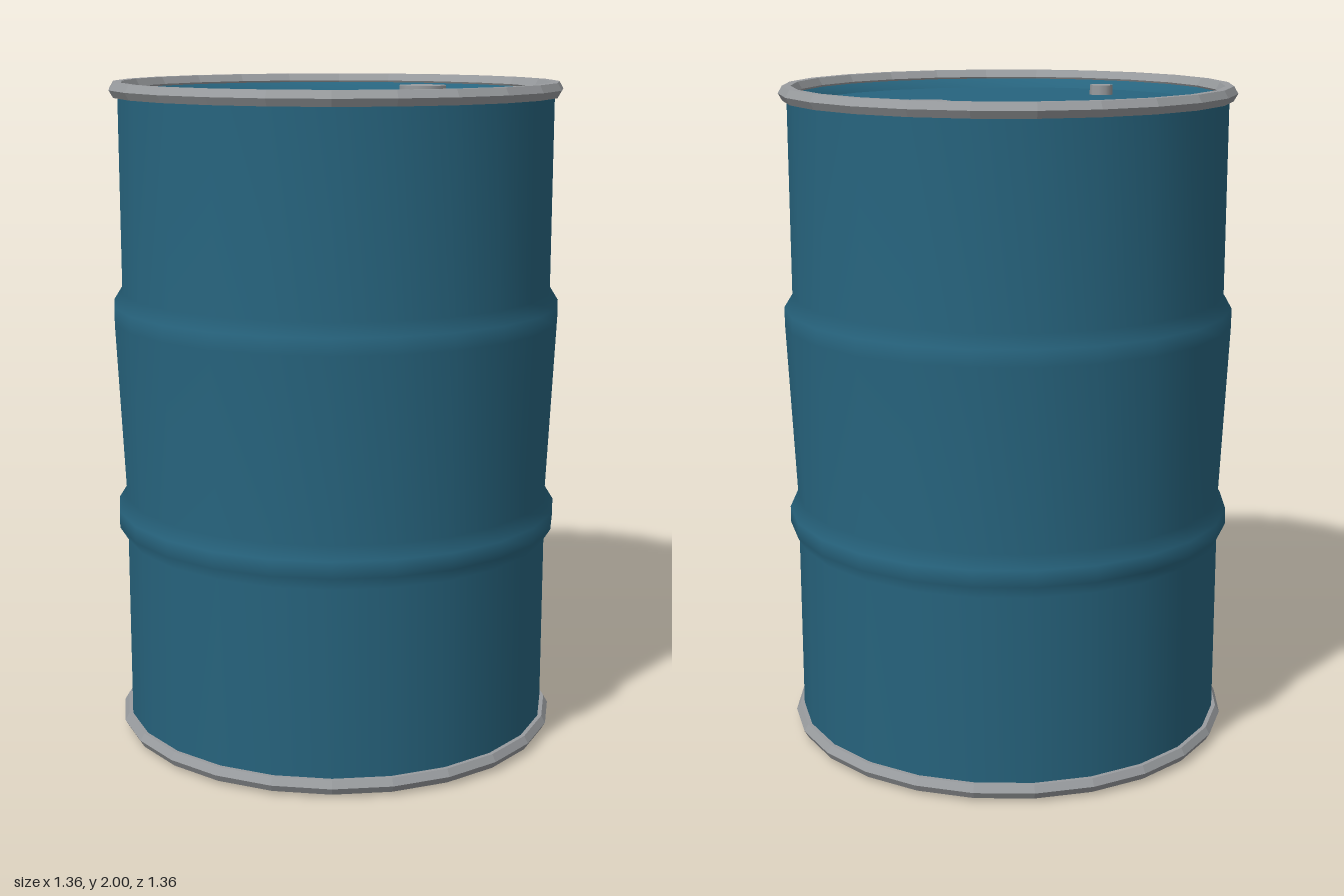
import * as THREE from 'three';

const SIDES = 24;
const blue = new THREE.MeshStandardMaterial({ color: 0x27647e });
blue.name = 'blue paint';
const steel = new THREE.MeshStandardMaterial({ color: 0x999c9f });
steel.name = 'bare steel';

function part(name, geometry, material, x = 0, y = 0, z = 0) {
  const mesh = new THREE.Mesh(geometry, material);
  mesh.name = name;
  mesh.position.set(x, y, z);
  return mesh;
}

// Revolve a list of [radius, height] points, bottom to top
function lathe(points) {
  return new THREE.LatheGeometry(points.map(([r, y]) => new THREE.Vector2(r, y)), SIDES);
}

// Faceted copy with one normal per face
function faceted(geometry) {
  const flat = geometry.toNonIndexed();
  flat.computeVertexNormals();
  return flat;
}

export function createModel() {
  const drum = new THREE.Group();
  drum.name = 'drum';

  // Side wall with two rolled hoops, smooth across the profile
  drum.add(part('wall', lathe([
    [0.635, 0], [0.655, 0.02], [0.655, 0.62], [0.68, 0.66], [0.68, 0.71], [0.655, 0.75],
    [0.68, 1.29], [0.68, 1.34], [0.655, 1.38], [0.655, 1.975],
  ]), blue));

  // Flat base and recessed lid with its sloping lip
  drum.add(part('base', lathe([[0, 0], [0.635, 0]]), blue));
  drum.add(part('lidLip', lathe([[0.655, 1.975], [0.635, 1.975], [0.613, 1.945]]), blue));
  drum.add(part('lid', lathe([[0.613, 1.945], [0, 1.945]]), blue));

  // Six-sided steel rims at both ends
  for (const [name, y] of [['bottomRim', 0.032], ['topRim', 1.978]]) {
    const ring = new THREE.TorusGeometry(0.655, 0.025, 6, SIDES).rotateX(Math.PI / 2);
    drum.add(part(name, faceted(ring), steel, 0, y, 0));
  }

  // Filler and vent caps on the lid
  drum.add(part('fillerCap', new THREE.CylinderGeometry(0.076, 0.076, 0.04, 12), steel, 0.34, 1.955, -0.228));
  drum.add(part('ventCap', new THREE.CylinderGeometry(0.036, 0.036, 0.04, 10), steel, -0.385, 1.955, 0.178));

  return drum;
}
